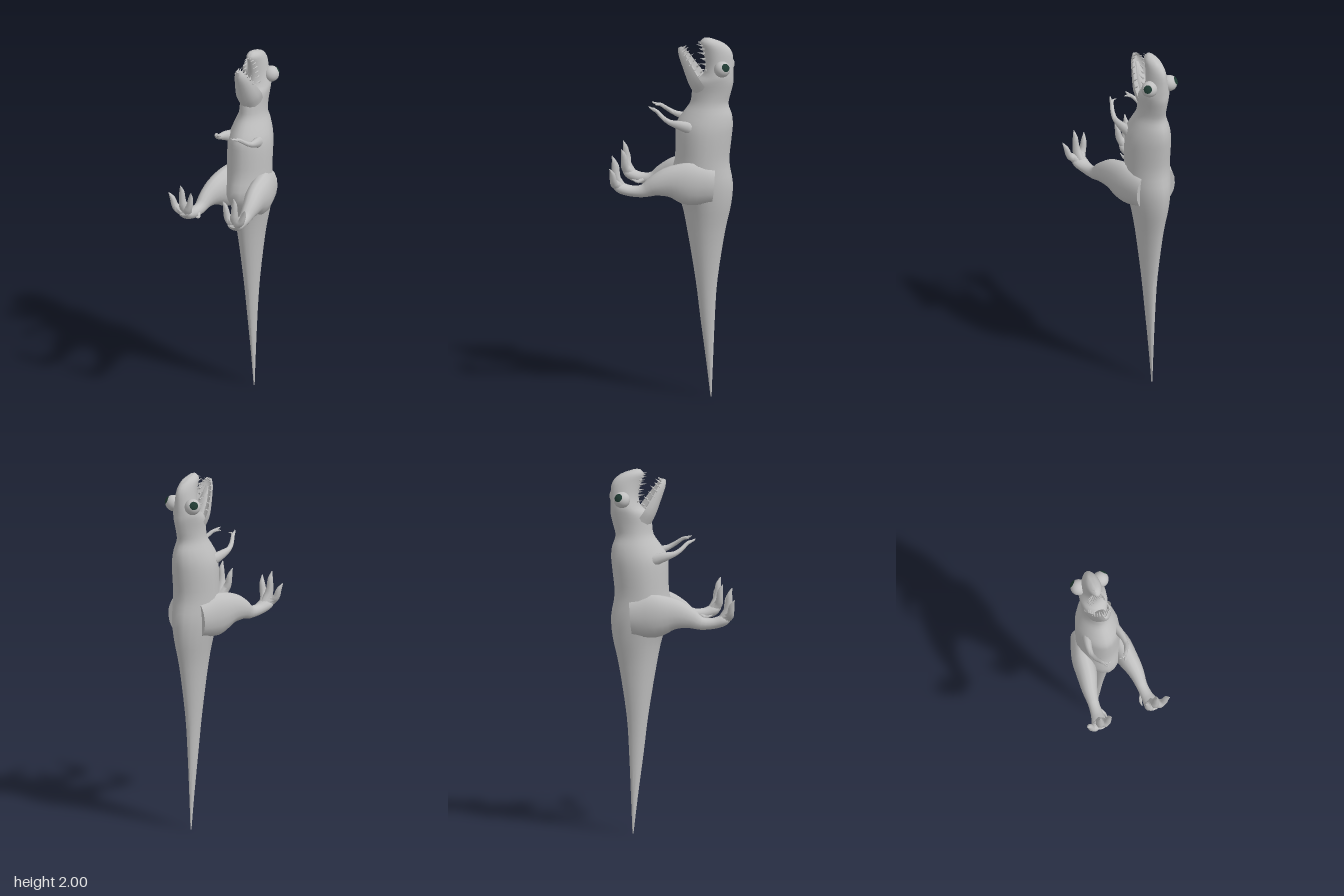
import * as THREE from 'three';
import { toCreasedNormals } from 'three/addons/utils/BufferGeometryUtils.js';

const skin = new THREE.MeshStandardMaterial({ color: 0xc0c0c0 });
skin.name = 'grey skin';
const pupilDark = new THREE.MeshStandardMaterial({ color: 0x1f3a32 });
pupilDark.name = 'dark green pupil';

const V = (x, y, z) => new THREE.Vector3(x, y, z);
const oval = (c, s) => [c, s];
// slightly keeled oval, with a soft ridge along back and belly
const keeled = (c, s) => [c, s].map(k => Math.sign(k) * Math.abs(k) ** 1.12);
// open scoop: rounded outside, hollow inside
const scoop = (c, s) => (s < 1e-6 ? [c, 1 + 2 * s] : [c * 0.86, 1 - 1.3 * s]);

// Smooth skin over sections [x, y, z, half width, half depth]
function loft(sections, { sides = 12, steps = 3, axis = null, shape = oval } = {}) {
  const path = new THREE.CatmullRomCurve3(sections.map(s => V(s[0], s[1], s[2])), false, 'catmullrom');
  const size = new THREE.CatmullRomCurve3(sections.map(s => V(s[3], s[4], 0)), false, 'catmullrom');
  const rings = (sections.length - 1) * steps;
  const pos = [], index = [];
  for (let i = 0; i <= rings; i++) {
    const p = path.getPoint(i / rings), r = size.getPoint(i / rings);
    const t = axis || path.getTangent(i / rings);
    const u = V(1, 0, 0).addScaledVector(t, -t.x).normalize();
    const v = t.clone().cross(u);
    for (let j = 0; j < sides; j++) {
      const a = (j / sides) * Math.PI * 2;
      const [c, s] = shape(Math.cos(a), Math.sin(a));
      pos.push(...p.clone().addScaledVector(u, c * Math.max(r.x, 0.001))
        .addScaledVector(v, s * Math.max(r.y, 0.001)).toArray());
    }
  }
  const at = (i, j) => i * sides + (j % sides);
  for (let i = 0; i < rings; i++)
    for (let j = 0; j < sides; j++)
      index.push(at(i, j), at(i, j + 1), at(i + 1, j + 1), at(i, j), at(i + 1, j + 1), at(i + 1, j));
  // end caps
  const first = pos.length / 3;
  pos.push(...path.getPoint(0).toArray(), ...path.getPoint(1).toArray());
  for (let j = 0; j < sides; j++)
    index.push(first, at(0, j + 1), at(0, j), first + 1, at(rings, j), at(rings, j + 1));
  const g = new THREE.BufferGeometry();
  g.setAttribute('position', new THREE.Float32BufferAttribute(pos, 3));
  g.setIndex(index);
  return toCreasedNormals(g, 0.9);
}

export function createModel() {
  const model = new THREE.Group();
  const add = (name, geometry, material = skin) => {
    const m = new THREE.Mesh(geometry, material);
    m.name = name;
    model.add(m);
    return m;
  };
  const side = (s, list) => list.map(([x, ...rest]) => [x * s, ...rest]);

  // Tail, trunk, neck and skull: [y, centre z, half width, half depth]
  const trunk = [
    [0, -0.195, 0.003, 0.003], [0.2, -0.187, 0.012, 0.019], [0.44, -0.176, 0.026, 0.04],
    [0.65, -0.17, 0.042, 0.06], [0.92, -0.168, 0.07, 0.103], [1.08, -0.168, 0.098, 0.138],
    [1.2, -0.143, 0.12, 0.172], [1.32, -0.146, 0.12, 0.15], [1.45, -0.154, 0.12, 0.154],
    [1.52, -0.16, 0.113, 0.155], [1.58, -0.175, 0.095, 0.135], [1.64, -0.186, 0.074, 0.105],
    [1.7, -0.197, 0.07, 0.107], [1.76, -0.212, 0.075, 0.106], [1.8, -0.235, 0.073, 0.083],
    [1.86, -0.241, 0.056, 0.077], [1.93, -0.23, 0.045, 0.08], [1.975, -0.2, 0.036, 0.065],
    [1.999, -0.175, 0.014, 0.02],
  ];
  add('body', loft(trunk.map(([y, z, w, d]) => [0, y, z, w, d]),
    { sides: 20, axis: V(0, 1, 0), shape: keeled }));

  // Open lower jaw and tongue
  add('lowerJaw', loft([
    [0, 1.71, -0.14, 0.066, 0.045], [0, 1.765, -0.108, 0.074, 0.042], [0, 1.845, -0.067, 0.055, 0.031],
    [0, 1.905, -0.037, 0.034, 0.022], [0, 1.94, -0.024, 0.012, 0.01],
  ], { sides: 16, shape: scoop }));
  add('tongue', loft([
    [0, 1.76, -0.125, 0.03, 0.012], [0, 1.83, -0.085, 0.026, 0.01], [0, 1.9, -0.048, 0.008, 0.005],
  ]));

  // Teeth around both jaws
  const tooth = (name, base, dir, length) => {
    const g = new THREE.ConeGeometry(0.006, length, 6);
    g.translate(0, length / 2, 0);
    const m = add(name, g);
    m.position.copy(base);
    m.quaternion.setFromUnitVectors(V(0, 1, 0), dir.normalize());
  };
  for (let k = 0; k <= 14; k++) {
    const a = (k / 14) * Math.PI, c = Math.cos(a), s = Math.sin(a);
    const jitter = k % 2 ? 0.008 : 0;
    tooth('upperTooth', V(0.042 * c, 1.83 + 0.143 * s, -0.18 + 0.022 * s), V(0, 0.12, 1), 0.036 + jitter);
    tooth('lowerTooth', V(0.058 * c, 1.79 + 0.145 * s, -0.125 + 0.09 * s), V(-0.2 * c, 0.6, -0.8), 0.024 + jitter);
  }

  for (const s of [1, -1]) {
    // Bulging eye with a pupil cap facing out, up and back
    const eyeAt = V(0.064 * s, 1.845, -0.268);
    add('eyeball', new THREE.SphereGeometry(0.044, 20, 14)).position.copy(eyeAt);
    const pupil = add('pupil', new THREE.SphereGeometry(0.0465, 16, 5, 0, Math.PI * 2, 0, 0.52), pupilDark);
    pupil.position.copy(eyeAt);
    pupil.quaternion.setFromUnitVectors(V(0, 1, 0), V(0.66 * s, 0.4, -0.6).normalize());

    // Nostril bump
    const nostril = add('nostril', new THREE.SphereGeometry(0.006, 8, 6));
    nostril.position.set(0.012 * s, 1.984, -0.214);
    nostril.scale.set(0.7, 1, 1.4);

    // Thigh, shin and ankle
    add('leg', loft(side(s, [
      [0.07, 1.2, -0.22, 0.055, 0.1], [0.104, 1.21, -0.1, 0.062, 0.12], [0.12, 1.218, 0, 0.056, 0.09],
      [0.135, 1.2, 0.08, 0.043, 0.06], [0.14, 1.167, 0.15, 0.031, 0.036], [0.145, 1.165, 0.22, 0.034, 0.03],
      [0.152, 1.182, 0.275, 0.044, 0.03], [0.155, 1.2, 0.305, 0.034, 0.018],
    ]), { sides: 14 }));

    // Three splayed toes, narrowing to claws
    for (const [midX, midY, tipX, tipY] of [
      [0.205, 1.225, 0.238, 1.305], [0.162, 1.27, 0.165, 1.36], [0.118, 1.24, 0.1, 1.33],
    ]) {
      add('toe', loft(side(s, [
        [0.147, 1.165, 0.25, 0.022, 0.024],
        [(0.15 + midX) / 2, (1.18 + midY) / 2, 0.293, 0.024, 0.026],
        [midX, midY, 0.302, 0.019, 0.02],
        [(midX + tipX) / 2, (midY + tipY) / 2 + 0.005, 0.305, 0.014, 0.015],
        [tipX, tipY, 0.318, 0.002, 0.002],
      ]), { sides: 8 }));
    }
    add('spurClaw', loft(side(s, [
      [0.125, 1.165, 0.195, 0.012, 0.012], [0.104, 1.152, 0.225, 0.009, 0.01], [0.1, 1.165, 0.262, 0.002, 0.002],
    ]), { sides: 8 }));

    // Small arm with two fingers
    add('arm', loft(side(s, [
      [0.08, 1.51, -0.1, 0.026, 0.034], [0.096, 1.53, -0.04, 0.02, 0.025], [0.098, 1.545, 0.015, 0.014, 0.015],
      [0.088, 1.568, 0.055, 0.012, 0.012], [0.07, 1.595, 0.09, 0.01, 0.01], [0.06, 1.602, 0.11, 0.01, 0.009],
    ]), { sides: 10 }));
    for (const [x, y, z] of [[0.048, 1.615, 0.138], [0.026, 1.604, 0.112]]) {
      add('finger', loft(side(s, [
        [0.065, 1.598, 0.098, 0.008, 0.008],
        [(0.062 + x) / 2, (1.602 + y) / 2, (0.108 + z) / 2 + 0.004, 0.006, 0.006],
        [x, y, z, 0.0015, 0.0015],
      ]), { sides: 6 }));
    }
  }
  return model;
}
